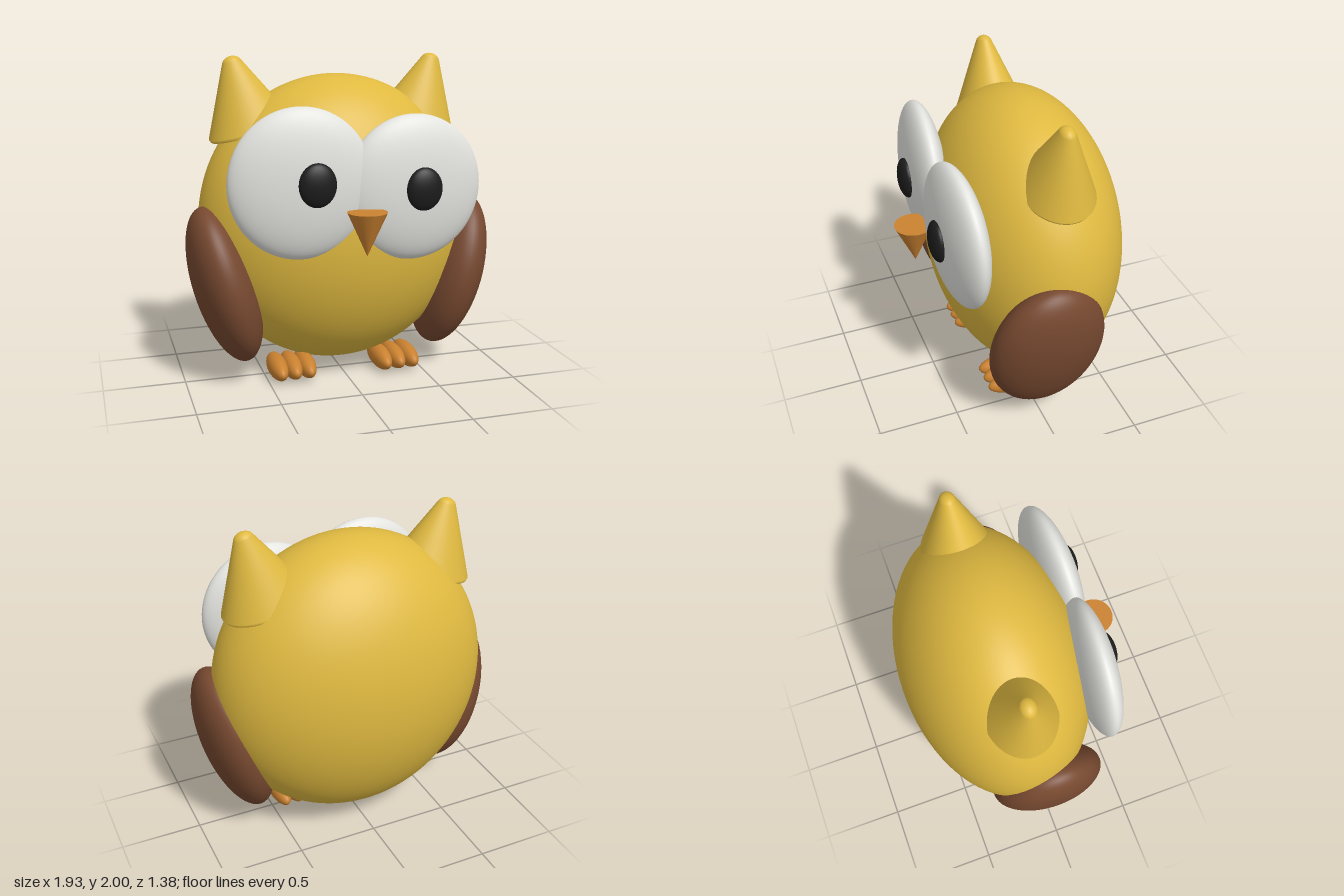
import * as THREE from 'three';

const paint = (name, color) => {
  const m = new THREE.MeshStandardMaterial({ color });
  m.name = name;
  return m;
};

export function createModel() {
  const yellow = paint('yellow plumage', 0xdfb940);
  const brown = paint('brown wing', 0x774930);
  const white = paint('eye white', 0xe2e2de);
  const black = paint('pupil black', 0x1c1c1c);
  const orange = paint('orange beak and feet', 0xcb8230);

  const owl = new THREE.Group();
  owl.name = 'owl';

  const add = (name, geometry, material, pos, parent = owl) => {
    const mesh = new THREE.Mesh(geometry, material);
    mesh.name = name;
    mesh.position.set(...pos);
    parent.add(mesh);
    return mesh;
  };
  // Smooth ellipsoid with the given half sizes
  const ellipsoid = (rx, ry, rz, seg = 48) =>
    new THREE.SphereGeometry(1, seg, Math.round(seg * 0.7)).scale(rx, ry, rz);

  // Egg-shaped body
  add('body', ellipsoid(0.87, 0.915, 0.578, 80), yellow, [0, 0.975, -0.113]);

  // Ear tuft: oval cone with a rounded tip, and a separate flat base
  const tipR = 0.05, tipY = 0.42;
  const profile = [new THREE.Vector2(0.208, 0), new THREE.Vector2(0.215, 0.02)];
  for (let i = 0; i <= 8; i++) {
    const a = THREE.MathUtils.lerp(0.4, Math.PI / 2, i / 8);
    profile.push(new THREE.Vector2(i === 8 ? 0 : tipR * Math.cos(a), tipY + tipR * Math.sin(a)));
  }
  const earGeo = new THREE.LatheGeometry(profile, 48).scale(1.235, 1, 1);
  const earBaseGeo = new THREE.CircleGeometry(0.208, 48).rotateX(Math.PI / 2).scale(1.235, 1, 1);

  for (const [side, s] of [['left', 1], ['right', -1]]) {
    const ear = new THREE.Group();
    ear.name = side + 'Ear';
    ear.position.set(s * 0.528, 1.549, -0.12);
    ear.rotation.z = -s * 0.262;
    owl.add(ear);
    add(side + 'EarTuft', earGeo, yellow, [0, 0, 0], ear);
    add(side + 'EarBase', earBaseGeo, yellow, [0, 0, 0], ear);

    // Wing leaning out at the top
    const wing = add(side + 'Wing', ellipsoid(0.194, 0.509, 0.355), brown, [s * 0.738, 0.617, 0]);
    wing.rotation.z = -s * 0.257 * -1 * -1;

    // Foot with three toes
    const foot = new THREE.Group();
    foot.name = side + 'Foot';
    foot.position.set(s * 0.34, 0.075, 0.075);
    owl.add(foot);
    for (let i = -1; i <= 1; i++) {
      add(side + 'Toe' + (i + 2), ellipsoid(0.06, 0.07, 0.185, 32), orange, [i * 0.09, 0, 0], foot);
    }
  }

  // Slightly uneven eyes
  const eyes = [
    { side: 'right', eye: [-0.347, 1.3, 0.405], size: [0.428, 0.445, 0.124], yaw: -0.05, pupil: [-0.28, 1.31, 0.53] },
    { side: 'left', eye: [0.335, 1.248, 0.412], size: [0.43, 0.437, 0.127], yaw: 0.05, pupil: [0.36, 1.257, 0.535] },
  ];
  for (const e of eyes) {
    add(e.side + 'Eye', ellipsoid(...e.size, 64), white, e.eye).rotation.y = e.yaw;
    add(e.side + 'Pupil', ellipsoid(0.111, 0.128, 0.05, 40), black, e.pupil);
  }

  // Beak: cone pointing down
  add('beak', new THREE.ConeGeometry(0.117, 0.26, 40).rotateX(Math.PI), orange, [0, 1.02, 0.575]);

  return owl;
}
